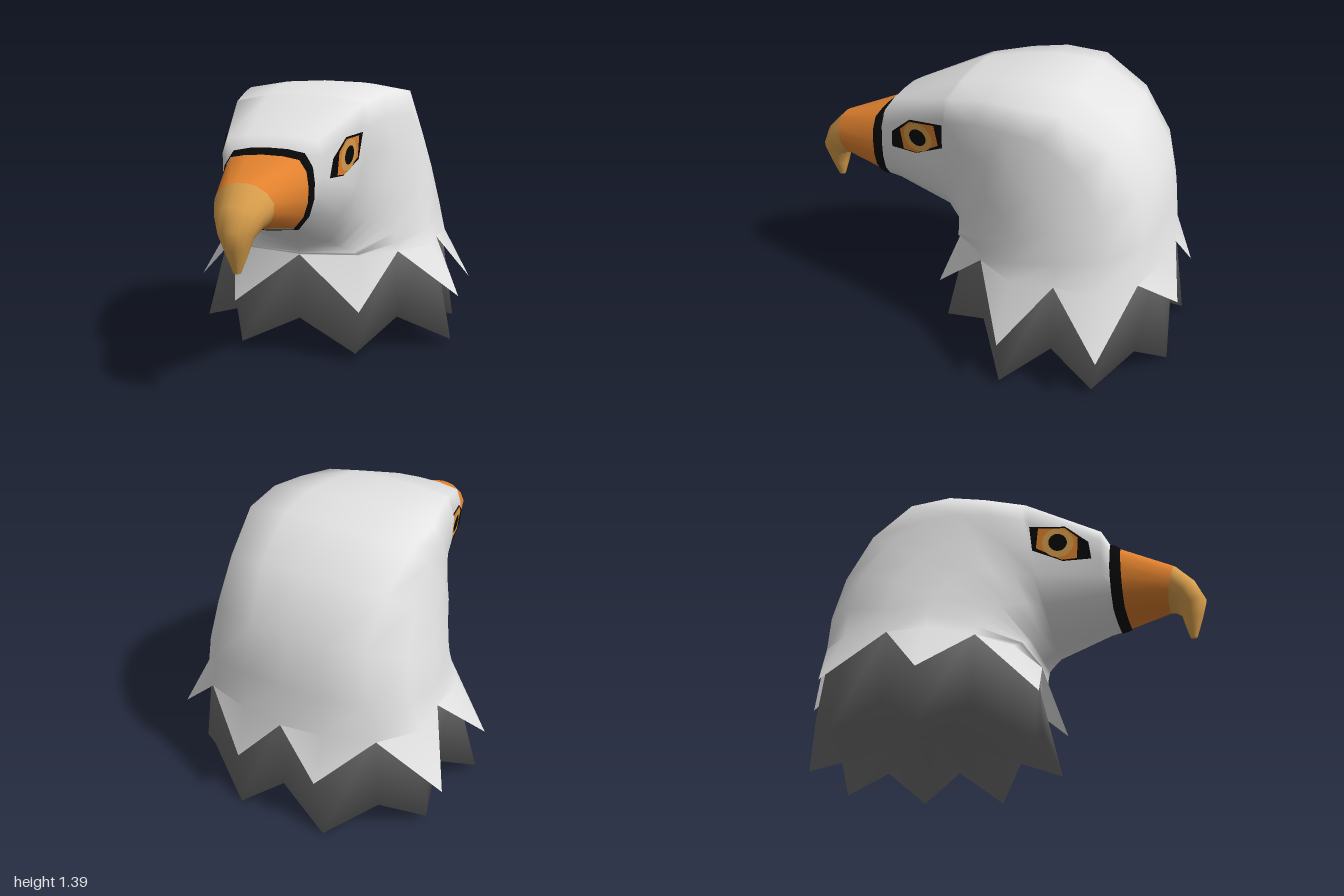
import * as THREE from 'three';

const mat = (name, color) => {
  const m = new THREE.MeshStandardMaterial({ color, side: THREE.DoubleSide });
  m.name = name;
  return m;
};

// Full 16-point ring from a 9-point half [x, y, z], running from the front/bottom round +x
const ring = (half) => [
  ...half,
  ...half.slice(1, -1).reverse().map(([x, y, z]) => [-x, y, z]),
];

// Half section between a top and a bottom point [z, y]: t = height fraction, w = half width
const section = (top, bottom, ts, ws) => ring(ts.map((t, i) => [
  ws[i],
  bottom[1] + (top[1] - bottom[1]) * t,
  bottom[0] + (top[0] - bottom[0]) * t,
]));

// Smooth skin over a list of closed rings
function loft(rings) {
  const n = rings[0].length, index = [];
  for (let i = 0; i < rings.length - 1; i++) {
    for (let j = 0; j < n; j++) {
      const a = i * n + j, b = i * n + (j + 1) % n, c = a + n, d = b + n;
      index.push(a, c, b, b, c, d);
    }
  }
  const g = new THREE.BufferGeometry();
  g.setAttribute('position', new THREE.Float32BufferAttribute(rings.flat(2), 3));
  g.setIndex(index);
  g.computeVertexNormals();
  return g;
}

export function createModel() {
  const model = new THREE.Group();
  const white = mat('white feathers', 0xe4e4e4);
  const grey = mat('dark grey feathers', 0x747474);
  const orange = mat('beak orange', 0xe4832f);
  const gold = mat('beak gold', 0xdfa34e);
  const black = mat('black', 0x080808);
  const add = (name, geometry, material, parent = model) => {
    const m = new THREE.Mesh(geometry, material);
    m.name = name;
    parent.add(m);
    return m;
  };

  // Head: sections swing from the beak base over the crown and down to the neck;
  // the second and third rows form the step at the back of the eye sockets
  const headT = [0, 0.03, 0.2, 0.4, 0.6, 0.8, 0.95, 0.99, 1];
  const neckT = [0, 0.065, 0.2, 0.38, 0.57, 0.76, 0.91, 0.975, 1];
  const baseW = [0, 0.14, 0.19, 0.212, 0.215, 0.205, 0.17, 0.09, 0];
  const headRows = [
    [[0.52, 1.165], [0.5, 0.71], [0.13, 0.19, 0.23, 0.25, 0.25, 0.225, 0.12]],
    [[0.15, 1.33], [0.24, 0.607], [0.14, 0.25, 0.3, 0.3, 0.322, 0.332, 0.17]],
    [[0.125, 1.336], [0.225, 0.601], [0.14, 0.255, 0.315, 0.35, 0.366, 0.337, 0.172]],
    [[-0.07, 1.375], [0.2, 0.59], [0.17, 0.29, 0.345, 0.385, 0.4, 0.375, 0.19]],
    [[-0.25, 1.39], [0.16, 0.56], [0.2, 0.35, 0.41, 0.435, 0.44, 0.42, 0.21]],
    [[-0.47, 1.375], [0.155, 0.55], [0.23, 0.39, 0.455, 0.475, 0.455, 0.42, 0.21]],
    [[-0.7, 1.23], [0.15, 0.54], [0.26, 0.42, 0.495, 0.505, 0.475, 0.39, 0.2]],
    [[-0.85, 1.0], [0.15, 0.535], [0.28, 0.44, 0.53, 0.545, 0.5, 0.37, 0.18]],
    [[-0.9, 0.75], [0.15, 0.53], [0.29, 0.45, 0.56, 0.565, 0.54, 0.4, 0.19]],
  ];
  const neck = section([-0.935, 0.55], [0.15, 0.525], neckT,
    [0, 0.3, 0.46, 0.59, 0.575, 0.58, 0.44, 0.21, 0]);
  const beakBase = section([0.56, 1.1], [0.56, 0.73], headT, baseW);

  // Feather points: every second neck point is pulled out into a tip
  const upperTips = [[0.335, 0.265, 0.21], [0.745, 0.27, -0.25], [0.72, 0.265, -0.72], [0.205, 0.33, -1]];
  const collar = ring(neck.slice(0, 9).map((p, i) => (i % 2 ? upperTips[(i - 1) / 2] : p)));
  add('head', loft([
    beakBase,
    ...headRows.map(([t, b, w]) => section(t, b, headT, [0, ...w, 0])),
    neck,
    collar,
  ]), white);

  // Dark lower feather skirt with its own row of points, closed underneath
  const skirtTop = neck.map(([x, y, z]) => [x * 0.97, y + 0.02, (z + 0.4) * 0.97 - 0.4]);
  const skirtHem = ring([
    [0, 0.19, 0.15], [0.31, 0.04, 0.18], [0.46, 0.18, -0.08], [0.71, 0.03, -0.25], [0.585, 0.19, -0.47],
    [0.635, 0.04, -0.69], [0.46, 0.18, -0.85], [0.23, 0, -0.98], [0, 0.19, -0.94],
  ]);
  const centre = skirtHem.map(() => [0, 0.2, -0.4]);
  add('featherSkirt', loft([skirtTop, skirtHem, centre]), grey);

  // Hooked beak: gold hook in front, orange behind, black band at the root
  const beakShape = [0, 0.55, 0.85, 0.98, 1, 0.82, 0.46, 0.2, 0];
  const beakSection = (top, bottom, w) => section(top, bottom, headT, beakShape.map((s) => s * w));
  const joint = beakSection([0.865, 0.99], [0.815, 0.78], 0.14);
  add('beakHook', loft([
    beakSection([0.925, 0.6], [0.925, 0.6], 0),
    beakSection([0.94, 0.605], [0.905, 0.605], 0.016),
    beakSection([0.975, 0.71], [0.885, 0.68], 0.052),
    beakSection([1, 0.8], [0.87, 0.745], 0.08),
    beakSection([0.955, 0.9], [0.845, 0.77], 0.112),
    joint,
  ]), gold);
  add('beak', loft([
    joint,
    section([0.58, 1.09], [0.57, 0.735], headT, baseW),
  ]), orange);
  add('beakBand', loft([
    section([0.605, 1.083], [0.605, 0.737], headT, baseW.map((w) => w * 0.985)),
    section([0.585, 1.098], [0.585, 0.73], headT, baseW.map((w) => w * 1.015)),
    section([0.55, 1.112], [0.55, 0.725], headT, baseW.map((w) => w * 1.035)),
  ]), black);

  // Eyes: thin layered plates set into the sockets
  const outline = (pts) => new THREE.Shape(pts.map((p) => new THREE.Vector2(...p)));
  const disc = (r) => new THREE.Shape().absarc(0.31, 1.062, r, 0, Math.PI * 2);
  const plates = [
    ['eyeSocket', outline([[0.47, 0.97], [0.46, 1.06], [0.35, 1.15], [0.17, 1.16], [0.18, 1.03], [0.33, 0.965]]), black],
    ['eyeball', outline([[0.4, 0.975], [0.41, 1.085], [0.35, 1.14], [0.215, 1.148], [0.2, 1.04], [0.325, 0.97]]), orange],
    ['iris', disc(0.078), gold],
    ['pupil', disc(0.046), black],
  ];
  for (const side of [1, -1]) {
    const eye = new THREE.Group();
    eye.name = side > 0 ? 'leftEye' : 'rightEye';
    plates.forEach(([name, shape, material], layer) => {
      const g = new THREE.ShapeGeometry(shape, 16);
      const p = g.attributes.position;
      for (let i = 0; i < p.count; i++) {
        const z = p.getX(i), y = p.getY(i);
        const x = 0.304 - 0.15 * (z - 0.3) + 0.12 * (y - 1.06) + layer * 0.003;
        p.setXYZ(i, side * x, y, z);
      }
      g.computeVertexNormals();
      add(name, g, material, eye);
    });
    model.add(eye);
  }
  return model;
}
